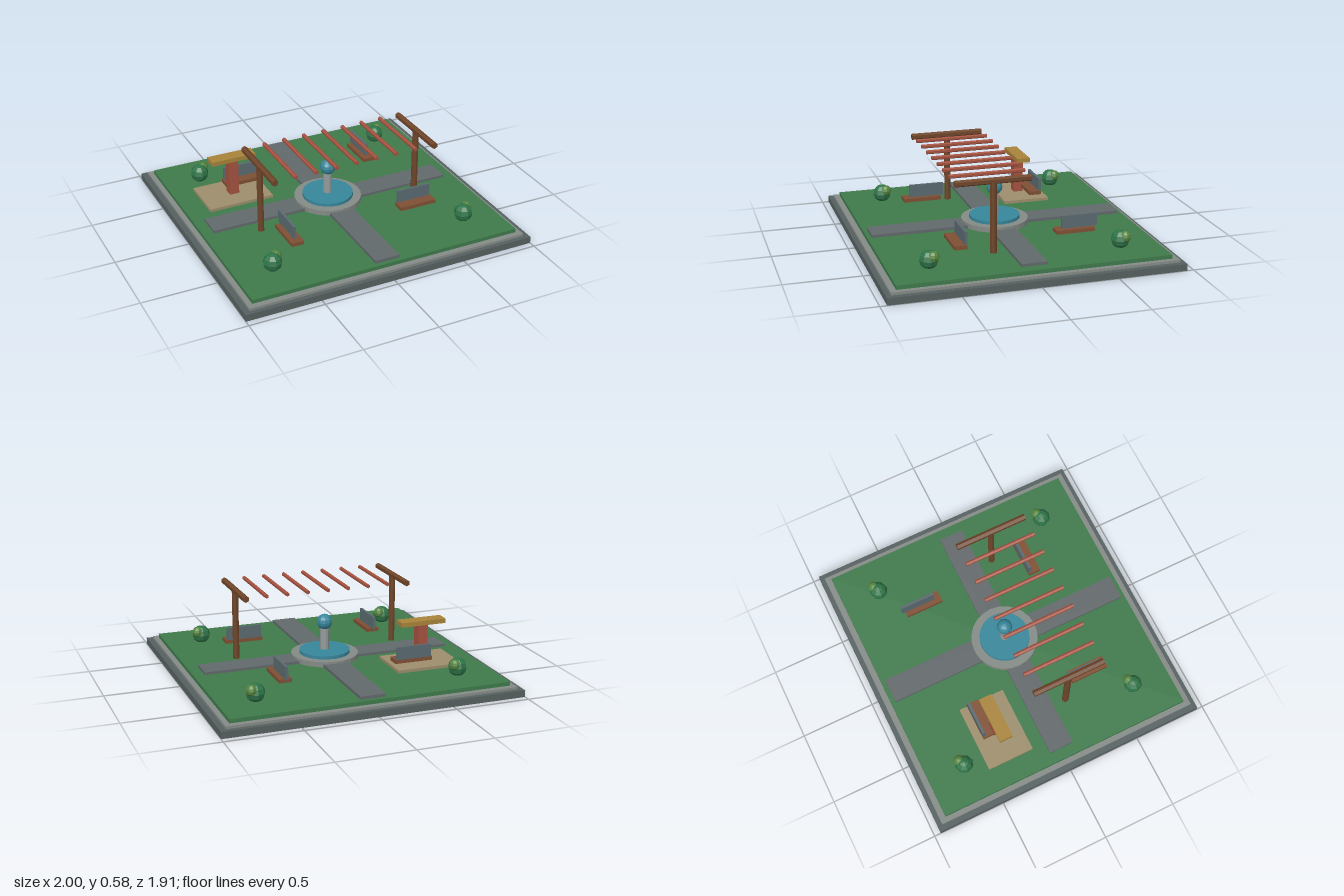
import * as THREE from 'three';

const mat = (color) => new THREE.MeshStandardMaterial({ color, flatShading: true });
const M = {
  stone: mat(0x566060), curb: mat(0x848a86), grass: mat(0x3f7a4b), path: mat(0x62696b),
  water: mat(0x36869a), column: mat(0x959c9b), wood: mat(0x7f5034), slate: mat(0x5a6a70),
  beam: mat(0x6e4529), slat: mat(0xa4523f), paving: mat(0x9c8d6b), roof: mat(0xa8833a),
  bush: mat(0x2f7448), sprout: mat(0x55853f),
};

function add(parent, name, geometry, material, x, y, z) {
  const mesh = new THREE.Mesh(geometry, material);
  mesh.name = name;
  mesh.position.set(x, y, z);
  parent.add(mesh);
  return mesh;
}

// Box given by its centre in plan and its bottom and top heights
const slab = (parent, name, material, x, z, w, d, y0, y1) =>
  add(parent, name, new THREE.BoxGeometry(w, y1 - y0, d), material, x, (y0 + y1) / 2, z);

// Upright cylinder from y0 to y1
const drum = (parent, name, material, x, z, r, y0, y1, sides) =>
  add(parent, name, new THREE.CylinderGeometry(r, r, y1 - y0, sides), material, x, (y0 + y1) / 2, z);

// Round bar lying along z
function bar(parent, name, material, x, y, z, r, length) {
  const geometry = new THREE.CylinderGeometry(r, r, length, 6).rotateX(Math.PI / 2);
  return add(parent, name, geometry, material, x, y, z);
}

function group(parent, name) {
  const g = new THREE.Group();
  g.name = name;
  parent.add(g);
  return g;
}

export function createModel() {
  const model = new THREE.Group();
  model.name = 'parkSquare';

  // Stepped ground
  const ground = group(model, 'ground');
  slab(ground, 'plinth', M.stone, 0, 0, 2, 1.912, 0, 0.045);
  slab(ground, 'curb', M.curb, 0, 0, 1.925, 1.85, 0.045, 0.062);
  slab(ground, 'lawn', M.grass, 0, 0, 1.855, 1.77, 0.062, 0.088);
  slab(ground, 'crossPath', M.path, 0, 0, 1.71, 0.168, 0.088, 0.106);
  slab(ground, 'longPath', M.path, 0, 0, 0.168, 1.71, 0.088, 0.108);

  // Fountain
  const fountain = group(model, 'fountain');
  drum(fountain, 'basin', M.curb, 0, 0, 0.226, 0.088, 0.123, 24);
  drum(fountain, 'water', M.water, 0, 0, 0.17, 0.123, 0.145, 24);
  drum(fountain, 'column', M.column, 0, 0, 0.03, 0.145, 0.3, 10);
  add(fountain, 'finial', new THREE.SphereGeometry(0.053, 10, 8), M.water, 0, 0.333, 0);

  // Pergola: two posts with top beams, and a row of slats between
  const pergola = group(model, 'pergola');
  for (const x of [-0.565, 0.565]) {
    drum(pergola, 'post', M.beam, x, 0.177, 0.022, 0.088, 0.56, 8);
    bar(pergola, 'topBeam', M.beam, x, 0.562, 0.178, 0.022, 0.5);
  }
  for (let i = -3; i <= 3; i++) bar(pergola, 'slat', M.slat, i * 0.1415, 0.568, 0.178, 0.014, 0.5);

  // Benches: two along x, two along z; the backrest is always shifted towards the back
  for (const [x, z, alongZ] of [[0.455, 0.393, 0], [-0.46, 0.393, 1], [0.456, -0.4, 1], [-0.458, -0.4, 0]]) {
    const bench = group(model, 'bench');
    const board = (name, material, dz, length, depth, y0, y1) =>
      slab(bench, name, material, x, z + dz, alongZ ? depth : length, alongZ ? length : depth, y0, y1);
    board('seat', M.wood, 0, 0.26, 0.085, 0.136, 0.161);
    board('backrest', M.slate, -0.035, 0.24, 0.017, 0.161, 0.247);
  }

  // Kiosk on a paved pad
  const kiosk = group(model, 'kiosk');
  slab(kiosk, 'pad', M.paving, -0.553, -0.335, 0.453, 0.32, 0.088, 0.108);
  slab(kiosk, 'pillar', M.slat, -0.553, -0.335, 0.067, 0.067, 0.108, 0.357);
  slab(kiosk, 'canopy', M.roof, -0.553, -0.335, 0.312, 0.09, 0.357, 0.387);

  // Bushes in the four corners
  for (const x of [-0.68, 0.685]) {
    for (const z of [-0.63, 0.625]) {
      const bush = group(model, 'bush');
      add(bush, 'foliage', new THREE.SphereGeometry(0.062, 8, 6), M.bush, x, 0.136, z);
      add(bush, 'sideFoliage', new THREE.SphereGeometry(0.038, 8, 6), M.sprout, x + 0.031, 0.16, z - 0.022);
    }
  }
  return model;
}
